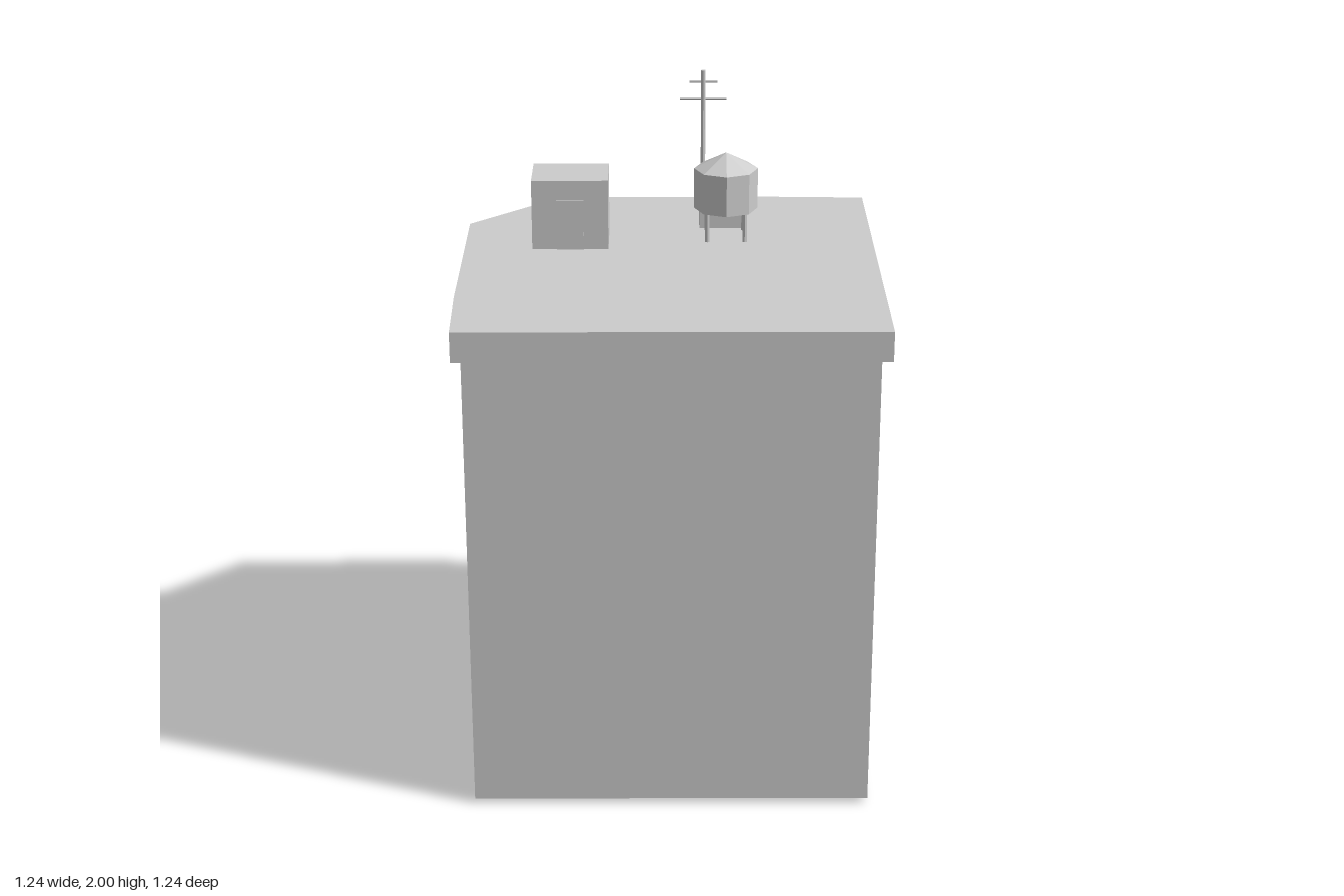
import * as THREE from 'three';

const concrete = new THREE.MeshStandardMaterial({ color: 0xcccccc });
concrete.name = 'concrete grey';
const ROOF = 1.515;

function add(parent, name, geo, x = 0, y = 0, z = 0) {
  const g = geo.index ? geo.toNonIndexed() : geo;
  g.computeVertexNormals(); // crisp facets
  const mesh = new THREE.Mesh(g, concrete);
  mesh.name = name;
  mesh.position.set(x, y, z);
  parent.add(mesh);
  return mesh;
}

// Box given by its lower and upper corner
function block(parent, name, x0, y0, z0, x1, y1, z1) {
  return add(parent, name, new THREE.BoxGeometry(x1 - x0, y1 - y0, z1 - z0),
    (x0 + x1) / 2, (y0 + y1) / 2, (z0 + z1) / 2);
}

const shapeOf = (pts) => new THREE.Shape(pts.map(([x, y]) => new THREE.Vector2(x, y)));

// Upright prism from an x/z floor plan
function prism(parent, name, plan, y0, y1) {
  const geo = new THREE.ExtrudeGeometry(shapeOf(plan.map(([x, z]) => [x, -z])),
    { depth: y1 - y0, bevelEnabled: false });
  geo.rotateX(-Math.PI / 2);
  return add(parent, name, geo, 0, y0, 0);
}

// Rectangular window surround, facing local +z
function windowFrame(w, h, t, depth) {
  const rect = (a, b) => [[-a, -b], [a, -b], [a, b], [-a, b]];
  const shape = shapeOf(rect(w / 2, h / 2));
  shape.holes.push(shapeOf(rect(w / 2 - t, h / 2 - t)));
  return new THREE.ExtrudeGeometry(shape, { depth, bevelEnabled: false });
}

// Door surround, open at the bottom
function doorFrame(w, h, t, depth) {
  const a = w / 2, b = a - t;
  return new THREE.ExtrudeGeometry(
    shapeOf([[-a, 0], [-b, 0], [-b, h - t], [b, h - t], [b, 0], [a, 0], [a, h], [-a, h]]),
    { depth, bevelEnabled: false });
}

export function createModel() {
  const building = new THREE.Group();
  building.name = 'building';

  // Walls with one cut corner, and the overhanging roof slab
  prism(building, 'walls', [[-0.585, 0.595], [0.59, 0.595], [0.59, -0.58],
    [-0.33, -0.58], [-0.585, -0.33]], 0.015, 1.425);
  prism(building, 'roofSlab', [[-0.612, 0.62], [0.62, 0.62], [0.62, -0.612], [0.33, -0.622],
    [-0.345, -0.62], [-0.62, -0.345], [-0.62, 0.33]], 1.425, ROOF);
  block(building, 'footing', -0.225, 0, -0.58, -0.1, 0.016, -0.56);

  // Window surrounds on the side and back, door at the back
  [0.23, 0.717, 1.187].forEach((y, floor) => {
    add(building, 'sideWindowFrame', windowFrame(0.35, 0.197, 0.022, 0.016), -0.584, y, 0.137)
      .rotation.y = -Math.PI / 2;
    if (floor > 0) {
      add(building, 'backWindowFrame', windowFrame(0.343, 0.197, 0.022, 0.016), 0.131, y, -0.579)
        .rotation.y = Math.PI;
    }
  });
  add(building, 'backDoorFrame', doorFrame(0.312, 0.318, 0.02, 0.011), 0.131, 0.015, -0.579)
    .rotation.y = Math.PI;

  // Stair housing
  block(building, 'stairHousing', -0.415, ROOF, -0.275, -0.185, 1.73, -0.098);
  block(building, 'stairDoor', -0.341, ROOF, -0.099, -0.259, 1.668, -0.093);

  // Water tank on four legs
  const tank = new THREE.Group();
  tank.name = 'waterTank';
  tank.position.set(0.172, ROOF, -0.226);
  building.add(tank);
  add(tank, 'tankBody', new THREE.CylinderGeometry(0.097, 0.097, 0.125, 8), 0, 0.1525, 0);
  add(tank, 'tankRoof', new THREE.ConeGeometry(0.097, 0.05, 8), 0, 0.24, 0);
  for (const sx of [-1, 1]) for (const sz of [-1, 1]) {
    add(tank, 'tankLeg', new THREE.CylinderGeometry(0.008, 0.008, 0.092, 6), sx * 0.057, 0.046, sz * 0.057);
  }

  // Cooling unit with its fan cap
  block(building, 'coolingUnit', 0.093, ROOF, -0.39, 0.235, 1.578, -0.302);
  add(building, 'fanCap', new THREE.CylinderGeometry(0.025, 0.025, 0.004, 6), 0.13, 1.579, -0.345);

  // Antenna mast with two crossbars
  add(building, 'antennaMast', new THREE.CylinderGeometry(0.007, 0.007, 2 - ROOF, 8),
    0.104, (2 + ROOF) / 2, -0.362);
  for (const [y, len] of [[1.91, 0.142], [1.964, 0.086]]) {
    const bar = new THREE.CylinderGeometry(0.0045, 0.0045, len, 6).rotateZ(Math.PI / 2);
    add(building, 'antennaBar', bar, 0.104, y, -0.365);
  }
  return building;
}
